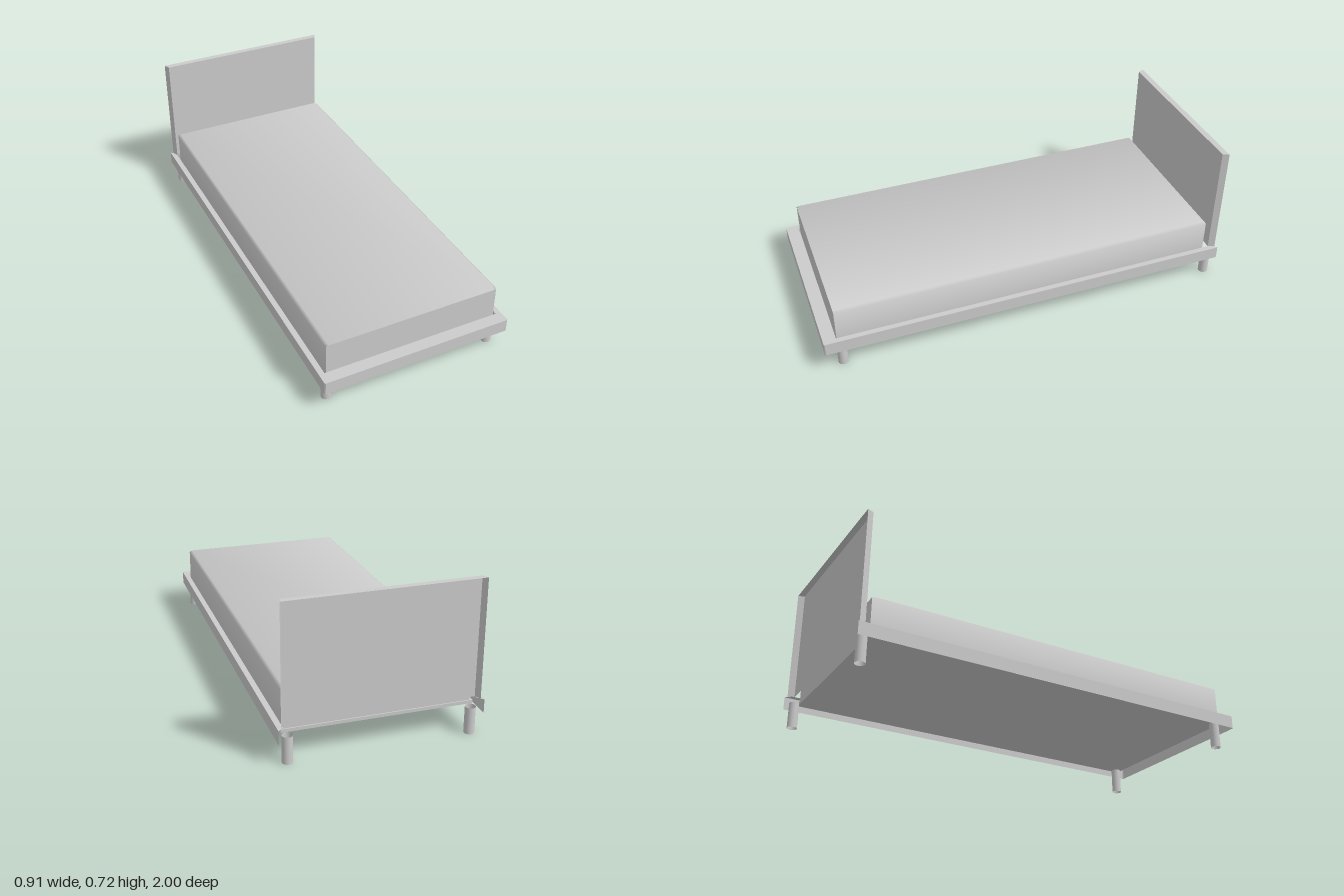
import * as THREE from 'three';

const material = new THREE.MeshStandardMaterial({ color: 0xcccccc, side: THREE.DoubleSide });

// Joins consecutive rows of points (all the same length) into an indexed skin.
function loft(rows) {
  const n = rows[0].length;
  const index = [];
  for (let r = 0; r < rows.length - 1; r++) {
    for (let i = 0; i < n - 1; i++) {
      const a = r * n + i, b = a + 1, c = a + n, d = c + 1;
      index.push(a, b, c, b, d, c);
    }
  }
  const geometry = new THREE.BufferGeometry();
  geometry.setAttribute('position', new THREE.Float32BufferAttribute(rows.flat(2), 3));
  geometry.setIndex(index);
  geometry.computeVertexNormals();
  return geometry;
}

function flat(geometry) {
  const result = geometry.toNonIndexed();
  result.computeVertexNormals();
  return result;
}

function addMesh(parent, name, geometry) {
  const mesh = new THREE.Mesh(geometry, material);
  mesh.name = name;
  parent.add(mesh);
  return mesh;
}

export function createModel() {
  const bed = new THREE.Group();
  bed.name = 'bed';

  // Three-sided frame: thin outer wall and top ledge, open at the back and below
  const outer = [[0.456, -1], [0.456, 0.996], [0.452, 1], [-0.452, 1], [-0.456, 0.996], [-0.456, -1]];
  const inner = [[0.43, -0.973], [0.43, 0.942], [0.43, 0.942], [-0.43, 0.942], [-0.43, 0.942], [-0.43, -0.973]];
  const atHeight = (path, y) => path.map(([x, z]) => [x, y, z]);
  addMesh(bed, 'frame', flat(loft([
    atHeight(inner, 0.167), atHeight(outer, 0.167), atHeight(outer, 0.104),
  ])));

  // Base board that carries the mattress inside the frame
  addMesh(bed, 'baseBoard', new THREE.BoxGeometry(0.862, 0.015, 1.88)).position.y = 0.1325;

  // Headboard: front panel with slanted side returns and a top return, open at the back
  const headboard = new THREE.Group();
  headboard.name = 'headboard';
  bed.add(headboard);
  const bottom = 0.167, top = 0.717, zFront = -0.96, zBack = -0.99;
  const outline = (w, z) => [[w, bottom, z], [w, top, z], [-w, top, z], [-w, bottom, z]];
  addMesh(headboard, 'headboardEdge', flat(loft([outline(0.43, zFront), outline(0.443, zBack)])));
  addMesh(headboard, 'headboardPanel', new THREE.PlaneGeometry(0.86, top - bottom))
    .position.set(0, (top + bottom) / 2, zFront);

  // Mattress: softly shaded cover over sides and top, resting on the base board
  const mattress = new THREE.Group();
  mattress.name = 'mattress';
  bed.add(mattress);
  const base = 0.14, rim = 0.309, crown = 0.319;
  const section = (z, w, h) => [
    [-w, base, z], [-w, rim, z], [0.013 - w, h, z], [w - 0.013, h, z], [w, rim, z], [w, base, z],
  ];
  const cover = loft([
    section(0.935, 0.42, rim), section(0.92, 0.425, crown),
    section(-0.92, 0.425, crown), section(-0.935, 0.42, rim),
  ]);
  // Normals lean outwards along the upper edges, so the cover shades as one soft form
  const tilt = [[-1, 0], [-0.92, 0.38], [-0.38, 0.92], [0.38, 0.92], [0.92, 0.38], [1, 0]];
  const normals = cover.attributes.normal;
  for (let i = 0; i < normals.count; i++) normals.setXYZ(i, ...tilt[i % 6], 0);
  addMesh(mattress, 'mattressCover', cover);

  // Flat mattress ends
  for (const side of [1, -1]) {
    const end = addMesh(mattress, 'mattressEnd', new THREE.PlaneGeometry(0.84, rim - base));
    end.position.set(0, (rim + base) / 2, side * 0.935);
    if (side < 0) end.rotation.y = Math.PI;
  }

  // Four round tubular legs
  const legGeometry = new THREE.CylinderGeometry(0.0235, 0.0235, 0.125, 24, 1, true);
  for (const x of [-0.41, 0.41]) {
    for (const z of [-0.964, 0.915]) {
      addMesh(bed, 'leg', legGeometry).position.set(x, 0.0625, z);
    }
  }
  return bed;
}
